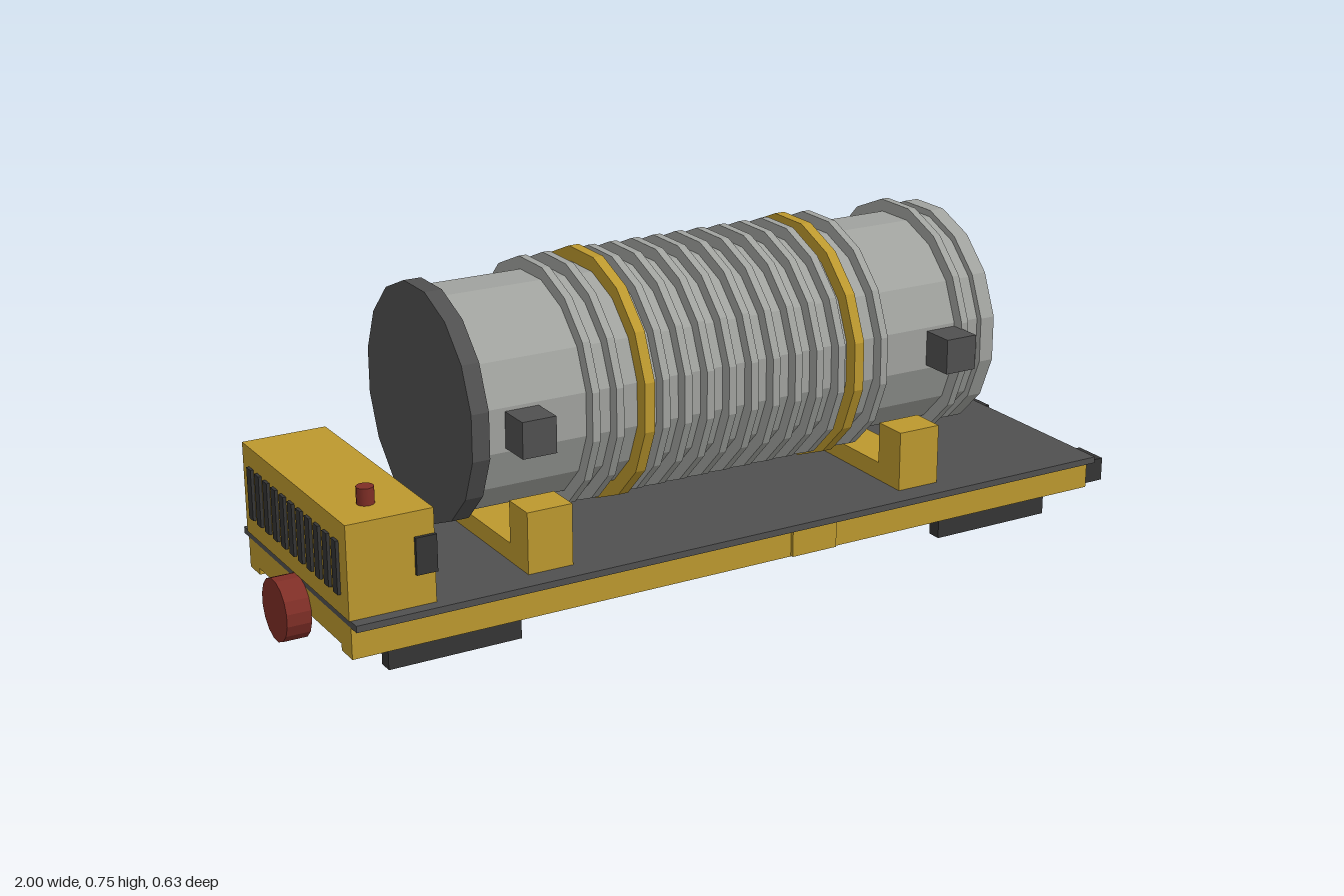
import * as THREE from 'three';

const mat = (name, color) => {
  const m = new THREE.MeshStandardMaterial({ color });
  m.name = name;
  return m;
};

export function createModel() {
  const yellow = mat('ochre yellow', 0xbc982e);
  const steel = mat('tank grey', 0xa0a29e);
  const dark = mat('dark grey', 0x505050);
  const black = mat('charcoal', 0x343434);
  const red = mat('signal red', 0x7e2e26);
  const model = new THREE.Group();
  model.name = 'tankCarrier';
  const ZC = -0.007; // centre line of the vehicle

  const add = (name, geometry, material, parent = model) => {
    const mesh = new THREE.Mesh(geometry, material);
    mesh.name = name;
    parent.add(mesh);
    return mesh;
  };
  // box given by its extents on each axis
  const box = (name, material, [x0, x1], [y0, y1], [z0, z1], parent) => {
    const mesh = add(name, new THREE.BoxGeometry(x1 - x0, y1 - y0, z1 - z0), material, parent);
    mesh.position.set((x0 + x1) / 2, (y0 + y1) / 2, (z0 + z1) / 2);
    return mesh;
  };
  // faceted drum along x, sized by the distance from axis to flat
  const drum = (name, material, x0, x1, apothem, y, parent, sides = 16) => {
    const r = apothem / Math.cos(Math.PI / sides);
    const g = new THREE.CylinderGeometry(r, r, x1 - x0, sides, 1, false, Math.PI / sides)
      .rotateZ(-Math.PI / 2).toNonIndexed();
    g.computeVertexNormals();
    const mesh = add(name, g, material, parent);
    mesh.position.set((x0 + x1) / 2, y, ZC);
    return mesh;
  };
  const group = (name) => {
    const g = new THREE.Group();
    g.name = name;
    model.add(g);
    return g;
  };

  // chassis: deck, side rails and cross beams
  const chassis = group('chassis');
  box('deck', dark, [-0.945, 0.94], [0.133, 0.148], [-0.313, 0.3], chassis);
  for (const s of [-1, 1]) {
    const zs = [ZC + s * 0.252 - 0.027, ZC + s * 0.252 + 0.027];
    box('sideRail', yellow, [-0.945, 0.94], [0.063, 0.133], zs, chassis);
  }
  for (let i = 0; i < 5; i++) {
    const x = -0.918 + i * 0.4575;
    box('crossBeam', yellow, [x - 0.027, x + 0.027], [0.078, 0.133], [ZC - 0.226, ZC + 0.226], chassis);
  }
  box('railBox', yellow, [0.105, 0.22], [0.065, 0.131], [0.27, 0.281], chassis);

  // skids in pairs, joined by a cross plate
  const running = group('runningGear');
  for (const x of [-0.696, 0.694]) {
    for (const s of [-1, 1]) {
      const z = ZC + s * 0.22;
      box('skid', black, [x - 0.153, x + 0.153], [0, 0.064], [z - 0.017, z + 0.017], running);
    }
    box('skidPlate', black, [x - 0.05, x + 0.05], [0.05, 0.064], [ZC - 0.21, ZC + 0.21], running);
  }

  // couplers at one end, round buffer at the other
  for (const s of [-1, 1]) {
    const z = ZC + s * 0.222;
    box('coupler', black, [0.935, 1], [0.065, 0.12], [z - 0.042, z + 0.042]);
  }
  drum('buffer', red, -1, -0.945, 0.0685, 0.078);

  // control cabinet with grille, side panel and beacon
  const cabinet = group('cabinet');
  box('cabinetBody', yellow, [-0.948, -0.755], [0.148, 0.355], [-0.285, 0.272], cabinet);
  box('sidePanel', black, [-0.8, -0.753], [0.218, 0.3], [0.271, 0.28], cabinet);
  for (let i = 0; i < 11; i++) {
    const z = ZC + (i - 5) * 0.046;
    box('grilleSlat', black, [-0.955, -0.947], [0.193, 0.31], [z - 0.012, z + 0.012], cabinet);
  }
  const beacon = add('beacon', new THREE.CylinderGeometry(0.019, 0.019, 0.038, 12), red, cabinet);
  beacon.position.set(-0.863, 0.373, 0.18);

  // U-shaped saddles
  for (const x of [-0.478, 0.468]) {
    const saddle = group('saddle');
    const xs = [x - 0.053, x + 0.053];
    box('saddleBase', yellow, xs, [0.148, 0.19], [ZC - 0.168, ZC + 0.168], saddle);
    for (const s of [-1, 1]) {
      const z = ZC + s * 0.2095;
      box('saddleBlock', yellow, xs, [0.148, 0.287], [z - 0.0415, z + 0.0415], saddle);
    }
  }

  // tank with end flanges, ribs and bands
  const tank = group('tank');
  const Y = 0.475;
  drum('tankBody', steel, -0.63, 0.64, 0.242, Y, tank);
  drum('darkFlange', dark, -0.655, -0.615, 0.257, Y, tank);
  drum('flange', steel, 0.625, 0.661, 0.257, Y, tank);
  const ribs = [-0.375, -0.318, -0.207, -0.153, -0.098, -0.043, 0.013, 0.068, 0.125, 0.18, 0.237, 0.35, 0.57];
  for (const x of ribs) drum('rib', steel, x - 0.009, x + 0.009, 0.27, Y, tank);
  for (const x of [-0.25, 0.28]) drum('band', yellow, x - 0.012, x + 0.012, 0.275, Y, tank);

  // lifting blocks on both flanks
  for (const x of [-0.533, 0.525]) {
    const xs = [x - 0.039, x + 0.039];
    box('frontBlock', dark, xs, [0.435, 0.515], [0.2, 0.313], tank);
    box('backBlock', dark, xs, [0.435, 0.515], [-0.286, -0.2], tank);
  }
  return model;
}
